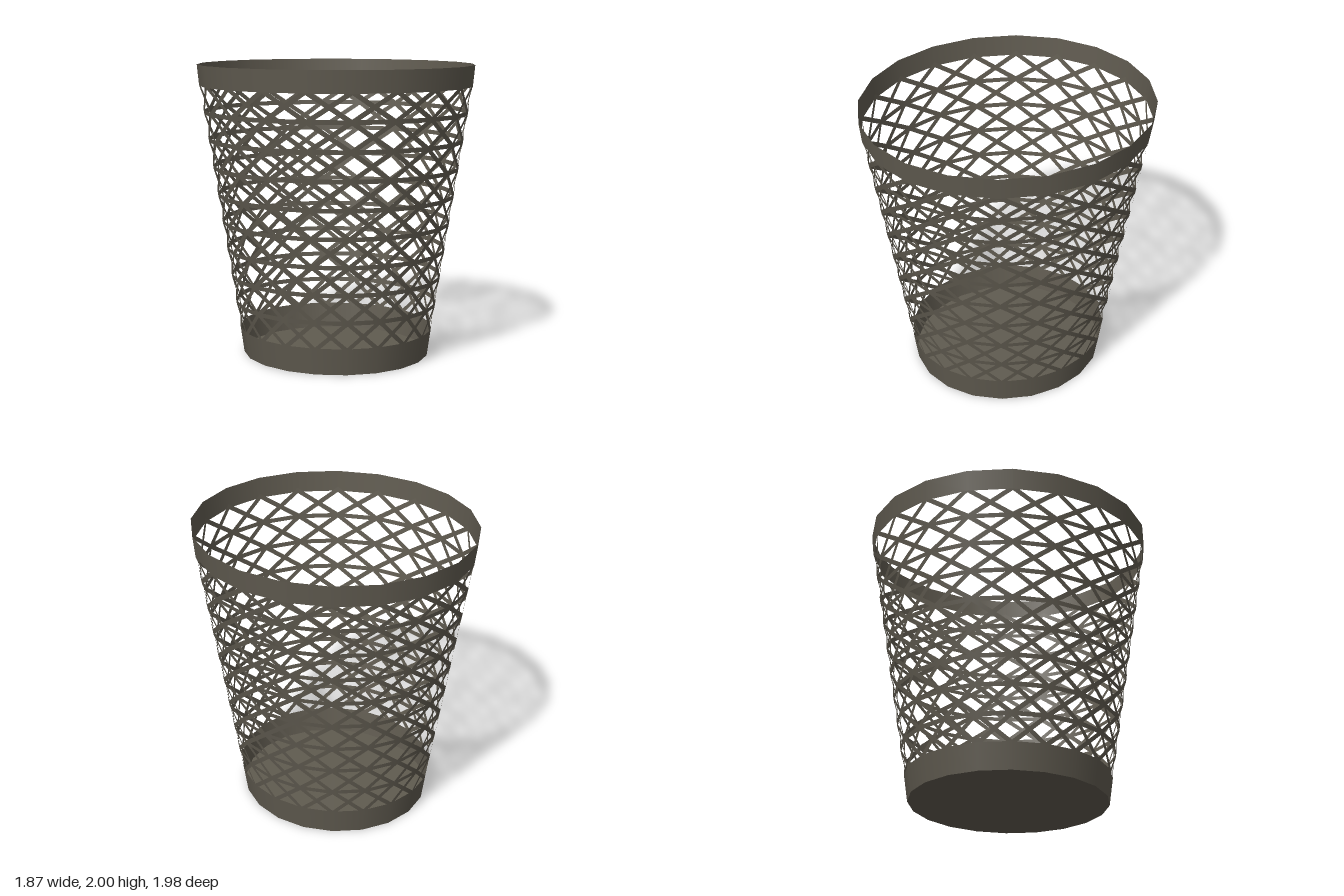
import * as THREE from 'three';

const SIDES = 20;
const OVAL = 0.945;                       // the basket is slightly narrower in x
const LOW = 0.17, HIGH = 1.865, ROWS = 9; // extent of the lattice
const radius = (y) => 0.671 + 0.1635 * y; // tapering wall

export function createModel() {
  const basket = new THREE.Group();
  basket.name = 'wasteBasket';
  const metal = new THREE.MeshStandardMaterial({ color: 0x605b50, side: THREE.DoubleSide });
  metal.name = 'dark taupe';

  const add = (name, geometry) => {
    geometry.scale(OVAL, 1, 1);
    const mesh = new THREE.Mesh(geometry, metal);
    mesh.name = name;
    basket.add(mesh);
  };
  // Thin wall turned from [radius, height] pairs
  const turned = (name, profile) =>
    add(name, new THREE.LatheGeometry(profile.map((p) => new THREE.Vector2(...p)), SIDES));

  // Solid parts
  turned('floor', [[0, 0], [0.674, 0]]);
  turned('baseBand', [[0.674, 0], [radius(0.18), 0.18]]);
  turned('rim', [[0.977, 1.855], [0.992, 2]]);

  // Horizontal hoops
  const step = (HIGH - LOW) / ROWS;
  for (let i = 1; i < ROWS; i++) {
    const y = LOW + i * step;
    turned('hoop', [[radius(y - 0.015), y - 0.015], [radius(y + 0.015), y + 0.015]]);
  }

  // Crossing diagonal strips, one X in every cell between hoops
  const positions = [], normals = [];
  const corner = (side, y) => {
    const a = (side / SIDES) * Math.PI * 2;
    positions.push(radius(y) * Math.sin(a), y, radius(y) * Math.cos(a));
    normals.push(Math.sin(a) * 0.987, -0.161, Math.cos(a) * 0.987);
  };
  const half = 0.019;
  const strip = (side, yA, yB) => {
    const q = [[side, yA - half], [side + 1, yB - half], [side + 1, yB + half], [side, yA + half]];
    for (const k of [0, 1, 2, 0, 2, 3]) corner(...q[k]);
  };
  for (let row = 0; row < ROWS; row++) {
    const y0 = LOW + row * step, y1 = y0 + step;
    for (let s = 0; s < SIDES; s++) {
      strip(s, y0, y1);
      strip(s, y1, y0);
    }
  }
  const lattice = new THREE.BufferGeometry();
  lattice.setAttribute('position', new THREE.Float32BufferAttribute(positions, 3));
  lattice.setAttribute('normal', new THREE.Float32BufferAttribute(normals, 3));
  add('lattice', lattice);

  return basket;
}
